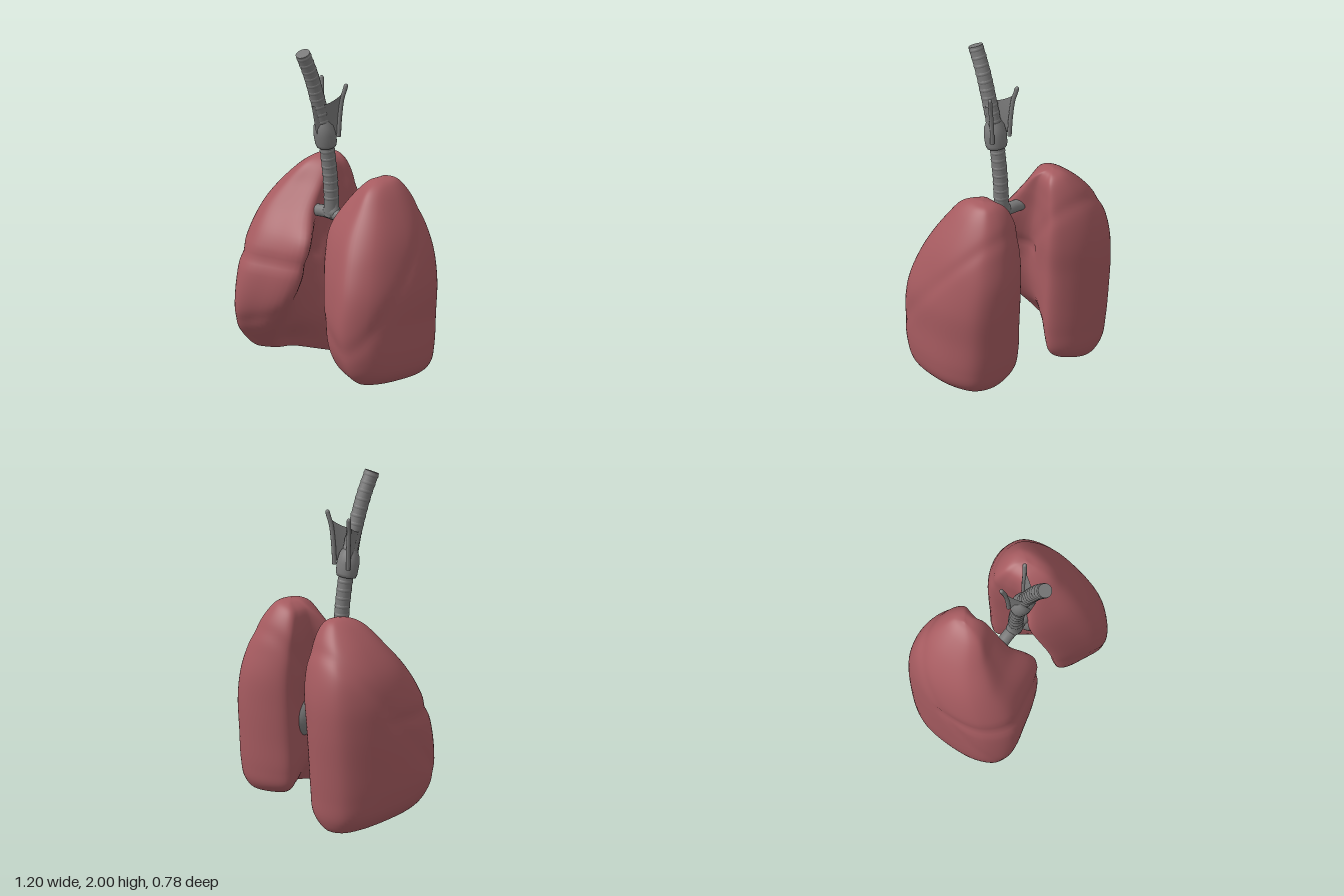
import * as THREE from 'three';
import { mergeVertices } from 'three/addons/utils/BufferGeometryUtils.js';

const V = (x, y, z) => new THREE.Vector3(x, y, z);
const mix = THREE.MathUtils.lerp;

// Lung sections, top to bottom, in distances from the midline:
// [y, outer x, front z, back z, front edge x, front edge z, hollow x, back edge x]
const RIGHT = [
  [1.23, 0.285, -0.06, -0.2, 0.19, -0.1, 0.19, 0.19],
  [1.19, 0.345, 0.01, -0.245, 0.155, -0.06, 0.165, 0.155],
  [1.08, 0.455, 0.1, -0.31, 0.135, 0.02, 0.16, 0.13],
  [0.95, 0.54, 0.2, -0.36, 0.11, 0.11, 0.17, 0.11],
  [0.8, 0.585, 0.3, -0.385, 0.025, 0.21, 0.18, 0.1],
  [0.62, 0.6, 0.37, -0.385, 0.045, 0.25, 0.2, 0.11],
  [0.42, 0.6, 0.39, -0.37, 0.13, 0.27, 0.22, 0.11],
  [0.22, 0.59, 0.36, -0.35, 0.26, 0.26, 0.27, 0.11],
  [0.08, 0.56, 0.28, -0.33, 0.35, 0.2, 0.36, 0.13],
  [0.01, 0.5, 0.21, -0.29, 0.39, 0.13, 0.39, 0.21],
];
const LEFT = [
  [1.205, 0.335, -0.02, -0.18, 0.225, -0.06, 0.225, 0.225],
  [1.165, 0.38, 0.05, -0.225, 0.18, -0.03, 0.18, 0.17],
  [1.06, 0.45, 0.13, -0.285, 0.12, 0.05, 0.16, 0.13],
  [0.92, 0.52, 0.22, -0.33, 0.06, 0.11, 0.17, 0.12],
  [0.78, 0.565, 0.285, -0.36, 0.075, 0.16, 0.18, 0.12],
  [0.6, 0.6, 0.34, -0.365, 0.11, 0.2, 0.24, 0.12],
  [0.4, 0.6, 0.36, -0.355, 0.14, 0.22, 0.26, 0.12],
  [0.22, 0.6, 0.33, -0.34, 0.18, 0.22, 0.27, 0.12],
  [0.12, 0.58, 0.285, -0.32, 0.23, 0.19, 0.32, 0.14],
  [0.07, 0.53, 0.22, -0.28, 0.3, 0.14, 0.36, 0.22],
];

// Bean-shaped closed loop for one section
function sectionLoop([y, xo, zf, zb, xt, zt, xh, xb], side, tilt, count) {
  const z = (t) => mix(zb, zf, t);
  const pts = [
    [xt, zt], [mix(xt, xo, 0.35), mix(zt, zf, 0.75)], [mix(xt, xo, 0.65), zf],
    [mix(xt, xo, 0.9), z(0.85)], [xo, z(0.5)], [mix(xb, xo, 0.95), z(0.25)],
    [mix(xb, xo, 0.8), z(0.07)], [mix(xb, xo, 0.5), zb], [mix(xb, xo, 0.18), z(0.06)],
    [xb, z(0.18)], [mix(xb, xh, 0.45), z(0.36)], [xh, z(0.58)],
  ].map(([px, pz]) => V(side * px, y + tilt * (pz + 0.25) * Math.max(0, 1 - y / 0.4), pz));
  return new THREE.CatmullRomCurve3(pts, true).getPoints(count).slice(0, count);
}

function lungGeometry(levels, side, apex, tilt, fissures) {
  const cols = 72, rows = 84;
  const loops = levels.map((l) => sectionLoop(l, side, tilt, cols));
  // Hollow base: shrinking loops that rise towards the middle
  const last = loops[loops.length - 1];
  const mid = last.reduce((a, p) => a.add(p), V(0, 0, 0)).divideScalar(cols).add(V(side * 0.03, 0, 0));
  for (const [k, rise] of [[0.75, 0.0], [0.4, 0.025], [0, 0.035]])
    loops.push(last.map((p) => mid.clone().lerp(p, k).add(V(0, rise, 0))));
  const pos = [], idx = [];
  for (let j = 0; j < cols; j++) {
    const column = new THREE.CatmullRomCurve3([apex, ...loops.map((l) => l[j])]).getPoints(rows);
    column.forEach((p) => pos.push(p.x, p.y, p.z));
  }
  const at = (i, j) => (j % cols) * (rows + 1) + i;
  const tri = (a, b, c) => idx.push(...(side > 0 ? [a, b, c] : [a, c, b]));
  for (let j = 0; j < cols; j++) for (let i = 0; i < rows; i++) {
    const a = at(i, j), b = at(i, j + 1), c = at(i + 1, j), d = at(i + 1, j + 1);
    if (i < rows - 1) tri(b, c, d);
    if (i > 0) tri(a, c, b);
  }
  let geo = new THREE.BufferGeometry();
  geo.setAttribute('position', new THREE.Float32BufferAttribute(pos, 3));
  geo.setIndex(idx);
  geo = mergeVertices(geo, 1e-5);
  geo.computeVertexNormals();
  // Press shallow fissures between the lobes
  const p = geo.attributes.position, n = geo.attributes.normal;
  for (let i = 0; i < p.count; i++) {
    const v = V().fromBufferAttribute(p, i);
    if (v.y < 0.15) continue;
    const depth = Math.max(...fissures.map(([f, amount]) => amount * Math.exp(-((f(v) / 0.04) ** 2))));
    v.addScaledVector(V().fromBufferAttribute(n, i), -depth);
    p.setXYZ(i, v.x, v.y, v.z);
  }
  geo.computeVertexNormals();
  return geo;
}

// Shield with a pointed front, open at the back, its rear corners swept up
function shieldGeometry() {
  const cols = 28, rows = 12, pos = [], idx = [];
  for (let r = 0; r <= rows; r++) for (let c = 0; c <= cols; c++) {
    const t = r / rows, a = (c / cols) * 2 - 1, e = Math.abs(a);
    const bottom = 1.45 + 0.02 * e, top = 1.65 + 0.07 * e ** 3;
    pos.push(a * mix(0.068, 0.094, t * t), mix(bottom, top, t), mix(0.165, 0.205, t) - e ** 1.3 * mix(0.11, 0.16, t));
    if (r < rows && c < cols) {
      const k = r * (cols + 1) + c;
      idx.push(k, k + 1, k + cols + 1, k + 1, k + cols + 2, k + cols + 1);
    }
  }
  const geo = new THREE.BufferGeometry();
  geo.setAttribute('position', new THREE.Float32BufferAttribute(pos, 3));
  geo.setIndex(idx);
  geo.computeVertexNormals();
  return geo;
}

export function createModel() {
  const model = new THREE.Group();
  model.name = 'lungsAndWindpipe';
  const lungRed = new THREE.MeshStandardMaterial({ color: 0xa65b60 });
  lungRed.name = 'lungRed';
  const airwayGrey = new THREE.MeshStandardMaterial({ color: 0x7a7a7a, side: THREE.DoubleSide });
  airwayGrey.name = 'airwayGrey';
  const add = (name, geo, mat = airwayGrey, parent = model) => {
    const mesh = new THREE.Mesh(geo, mat);
    mesh.name = name;
    parent.add(mesh);
    return mesh;
  };

  // Lungs
  const oblique = (v) => (v.y - 0.7 + 1.2 * v.z) / 1.56;
  const horizontal = (v) => (v.z > -0.02 ? v.y - 0.67 : 1);
  add('rightLung', lungGeometry(RIGHT, -1, V(-0.24, 1.245, -0.13), 0.16, [[oblique, 0.006], [horizontal, 0.012]]), lungRed);
  add('leftLung', lungGeometry(LEFT, 1, V(0.28, 1.22, -0.1), 0, [[oblique, 0.006]]), lungRed);

  // Windpipe with its rings
  const path = new THREE.CatmullRomCurve3([
    V(0, 1.988, 0.276), V(0, 1.85, 0.215), V(0, 1.7, 0.165), V(0, 1.5, 0.11), V(0, 1.2, 0.062), V(0, 0.95, 0.047),
  ]);
  const windpipe = new THREE.Group();
  windpipe.name = 'windpipe';
  model.add(windpipe);
  add('windpipeTube', new THREE.TubeGeometry(path, 60, 0.043, 20), airwayGrey, windpipe);
  const place = (mesh, t) => {
    mesh.position.copy(path.getPointAt(t));
    mesh.quaternion.setFromUnitVectors(V(0, 0, 1), path.getTangentAt(t).negate());
  };
  place(add('windpipeTop', new THREE.CircleGeometry(0.043, 20), airwayGrey, windpipe), 0);
  for (let i = 0; i < 20; i++)
    place(add('windpipeRing', new THREE.TorusGeometry(0.0255, 0.02, 12, 20), airwayGrey, windpipe), 0.02 + i * 0.046);

  // Branches into each lung
  for (const [name, s, r, z] of [['rightBronchus', -1, 0.036, 0.05], ['leftBronchus', 1, 0.034, 0.042]]) {
    const branch = new THREE.CatmullRomCurve3([
      V(s * -0.02, 0.962, 0.047), V(s * 0.06, 0.962, 0.047), V(s * 0.12, 0.955, z), V(s * 0.26, 0.945, z),
    ]);
    add(name, new THREE.TubeGeometry(branch, 24, r, 16));
  }
  // Flared fork where the branches meet
  const flare = [[0.043, 0.06], [0.047, 0.035], [0.058, 0.015], [0.065, -0.005], [0.05, -0.02], [0, -0.03]];
  const fork = add('windpipeFork', new THREE.LatheGeometry(flare.map(([r, y]) => new THREE.Vector2(r, y)).reverse(), 24));
  fork.position.set(0, 0.975, 0.047);
  fork.scale.z = 0.7;

  // Voice box: shield, horns and lower ring
  add('voiceBoxShield', shieldGeometry());
  for (const s of [-1, 1]) {
    const horn = new THREE.CatmullRomCurve3([
      V(s * 0.066, 1.45, 0.055), V(s * 0.074, 1.58, 0.052), V(s * 0.088, 1.69, 0.046),
      V(s * 0.097, 1.73, 0.038), V(s * 0.104, 1.762, 0.033),
    ]);
    add('voiceBoxHorn', new THREE.TubeGeometry(horn, 16, 0.013, 10));
    add('hornTip', new THREE.SphereGeometry(0.013, 10, 8)).position.copy(horn.getPoint(1));
  }
  const ring = [[0.038, -0.085], [0.06, -0.08], [0.067, -0.06], [0.07, 0], [0.062, 0.05], [0.04, 0.09]];
  const lower = add('voiceBoxRing', new THREE.LatheGeometry(ring.map(([r, y]) => new THREE.Vector2(r, y)), 24));
  lower.position.set(0, 1.465, 0.104);
  lower.scale.z = 0.9;
  lower.rotation.x = 0.18;

  // Round nodule in the hollow of the left lung
  add('nodule', new THREE.SphereGeometry(0.13, 28, 20)).position.set(0.28, 0.5, -0.06);
  return model;
}
